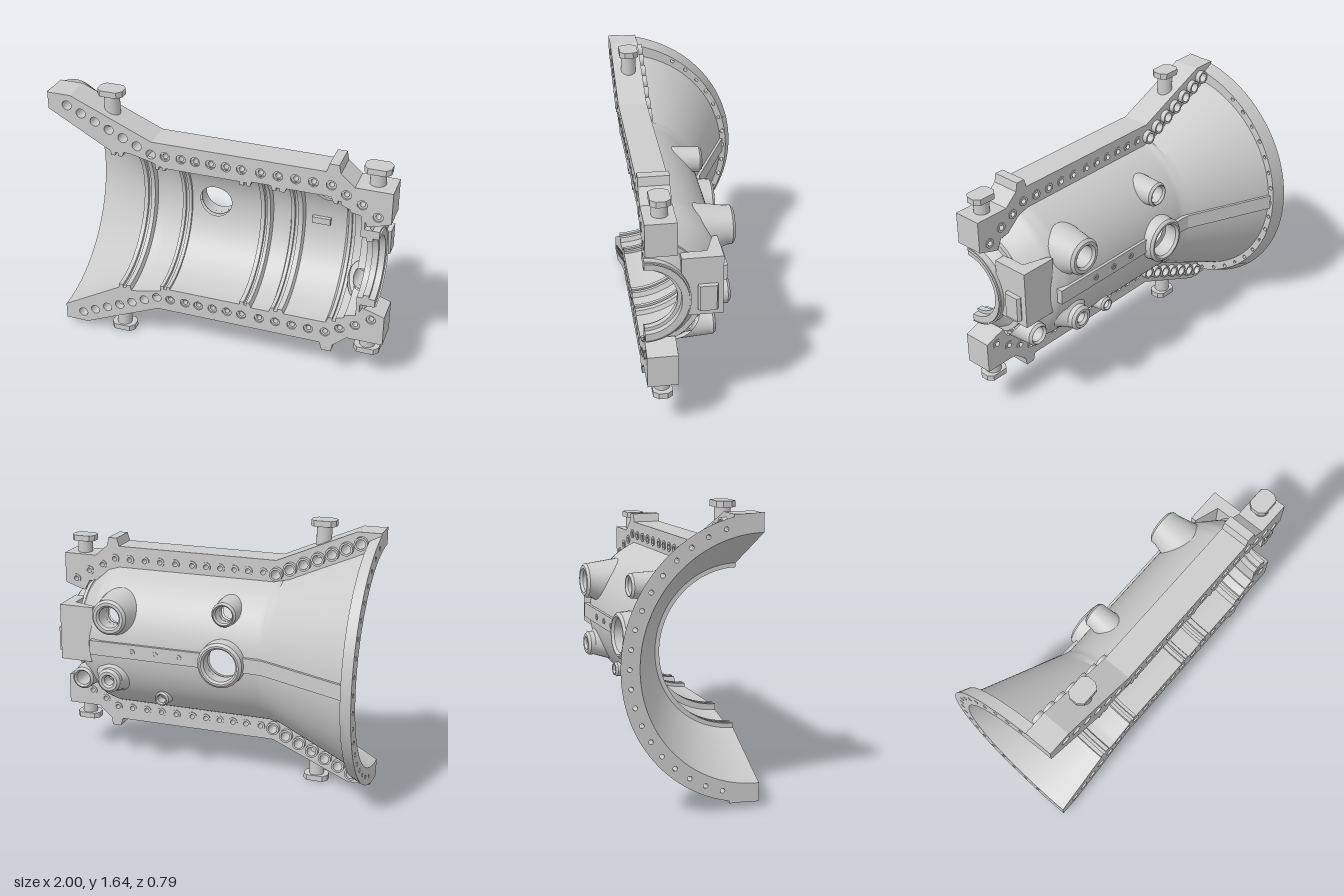
import * as THREE from 'three';
import { toCreasedNormals } from 'three/addons/utils/BufferGeometryUtils.js';

const AY = 0.82, AZ = 0.395; // casing axis, running along x in the split plane
const mat = new THREE.MeshStandardMaterial({ color: 0xcccccc, side: THREE.DoubleSide });

// openings through the wall: x, y, radius
const ports = [[-0.15, 0.82, 0.1], [-0.15, 1.11, 0.052], [0.55, 1.04, 0.065], [0.8, 0.58, 0.045]];

// profiles as x, radius
const inner = [[-1, .68], [-.63, .47], [-.63, .445], [-.605, .445], [-.605, .465], [-.585, .465], [-.585, .445], [-.56, .445],
  [-.55, .475], [-.5, .47], [-.36, .435], [-.36, .4], [-.34, .4], [-.34, .42], [-.32, .42], [-.32, .4], [-.3, .4], [-.3, .415],
  [.14, .415], [.14, .395], [.165, .395], [.165, .415], [.18, .415], [.18, .395], [.2, .395], [.21, .425], [.32, .425],
  [.33, .395], [.35, .395], [.35, .415], [.37, .415], [.37, .395], [.4, .395], [.41, .42], [.66, .42],
  [.68, .38], [.7, .38], [.7, .4], [.72, .4], [.72, .38], [.74, .37], [.77, .36], [.77, .345], [.84, .33]];
const outer = [[-.93, .715], [-.4, .48], [-.37, .47], [.63, .47], [.7, .45], [.8, .37], [.9, .25], [.95, .24]];

// half revolution about the axis, leaving the ports open
function halfShell(profile, squash = 0) {
  const rows = [profile[0]], N = 72, pos = [], cut = [], idx = [];
  for (let i = 1; i < profile.length; i++) {
    const [x0, r0] = profile[i - 1], [x1, r1] = profile[i];
    const n = Math.max(1, Math.ceil(Math.abs(x1 - x0) / 0.022));
    for (let k = 1; k <= n; k++) rows.push([x0 + (x1 - x0) * k / n, r0 + (r1 - r0) * k / n]);
  }
  for (const [px, r] of rows) for (let j = 0; j <= N; j++) {
    const a = Math.PI * j / N;
    const rr = px < -0.4 ? r * (1 - squash * (1 - Math.sin(a))) : r;
    let x = px, y = AY + rr * Math.cos(a), inside = false;
    for (const [hx, hy, hr] of ports) {
      const d = Math.hypot(x - hx, y - hy);
      if (d < hr) { // slide the vertex out to the port's edge
        const k = hr / Math.max(d, 1e-4);
        x = hx + (x - hx) * k; y = hy + (y - hy) * k; inside = true;
      }
    }
    const dy = y - AY;
    pos.push(x, y, AZ - (inside ? Math.sqrt(Math.max(0, rr * rr - dy * dy)) : rr * Math.sin(a)));
    cut.push(inside);
  }
  const tri = (a, b, c) => { if (!(cut[a] && cut[b] && cut[c])) idx.push(a, b, c); };
  for (let i = 0; i < rows.length - 1; i++) for (let j = 0; j < N; j++) {
    const a = i * (N + 1) + j, b = a + N + 1;
    tri(a, b, a + 1); tri(b, b + 1, a + 1);
  }
  const g = new THREE.BufferGeometry();
  g.setAttribute('position', new THREE.Float32BufferAttribute(pos, 3));
  g.setIndex(idx);
  return toCreasedNormals(g, 0.45);
}

const circle = (x, y, r) => new THREE.Path().absarc(x, y, r, 0, Math.PI * 2, true);
const extrude = (shape, depth) => new THREE.ExtrudeGeometry(shape, { depth, bevelEnabled: false, curveSegments: 32 });

// half ring standing across the axis
function halfRing(r0, r1, x0, depth, holes = []) {
  const s = new THREE.Shape();
  s.absarc(0, 0, r1, -Math.PI / 2, Math.PI / 2, false);
  s.absarc(0, 0, r0, Math.PI / 2, -Math.PI / 2, true);
  s.holes = holes;
  return toCreasedNormals(extrude(s, depth).rotateY(Math.PI / 2).translate(x0, AY, AZ), 0.5);
}

// plan outline in x, z raised along y
const slab = (pts, y0, h) =>
  extrude(new THREE.Shape(pts.map(([x, z]) => new THREE.Vector2(x, -z))), h).rotateX(-Math.PI / 2).translate(0, y0, 0);

// tube along z between z0 and z1
function sleeve(x, y, r0, r1, z0, z1) {
  const p = [[r0, z0], [r1, z0], [r1, z1], [r0, z1], [r0, z0]].map(([r, z]) => new THREE.Vector2(r, z));
  return toCreasedNormals(new THREE.LatheGeometry(p, 20).rotateX(Math.PI / 2).translate(x, y, 0), 0.5);
}

// hollow boss facing the back, its foot fitted to the wall of radius R
function boss(x, y, hole, rim, foot, zTop, R) {
  const h = -zTop, FLOOR = -9;
  const p = [[hole, FLOOR], [hole, h - .015], [hole + .012, h], [rim - .015, h], [rim, h - .015], [rim, h - .045], [foot, FLOOR]]
    .map(([r, t]) => new THREE.Vector2(r, t));
  const g = new THREE.LatheGeometry(p, 28).rotateX(-Math.PI / 2).translate(x, y, 0), v = g.attributes.position;
  for (let i = 0; i < v.count; i++) if (v.getZ(i) > 5) {
    const dy = v.getY(i) - AY;
    v.setZ(i, AZ - Math.sqrt(Math.max(0.01, R * R - dy * dy)));
  }
  return toCreasedNormals(g, 0.5);
}

export function createModel() {
  const model = new THREE.Group();
  const add = (name, geo) => {
    const m = new THREE.Mesh(geo, mat);
    m.name = name;
    model.add(m);
    return m;
  };

  add('innerWall', halfShell(inner));
  add('outerWall', halfShell(outer, 0.05));

  // flared end rim with a row of bolt holes
  const rimHoles = [];
  for (let i = 0; i < 21; i++) {
    const a = (i - 10) * 0.142;
    rimHoles.push(circle(0.735 * Math.cos(a), 0.735 * Math.sin(a), 0.013));
  }
  const rim = halfRing(0.68, 0.785, -1, 0.07, rimHoles), rv = rim.attributes.position;
  for (let i = 0; i < rv.count; i++) {
    const y = rv.getY(i) - AY, z = rv.getZ(i) - AZ;
    if (rv.getX(i) > -0.95 && Math.hypot(y, z) > 0.77) rv.setXYZ(i, rv.getX(i), AY + y * 0.957, AZ + z * 0.957);
  }
  add('flareRim', rim);

  // narrow end: bearing ring, collar and block
  add('neckRing', halfRing(0.2, 0.25, 0.84, 0.1));
  add('neckLip', halfRing(0.18, 0.225, 0.87, 0.035));
  add('neckWall', halfRing(0.2, 0.335, 0.835, 0.02));
  add('neckBlock', slab([[.7, -.03], [.92, -.03], [.92, .195], [.85, .195], [.85, .05], [.7, 0]], 0.71, 0.35));
  add('neckCap', slab([[.91, .01], [.93, 0], [.95, .01], [.95, .1], [.93, .11], [.91, .1]], 0.75, 0.15));

  // split flanges, upper and lower
  const outline = [[1, .31], [1, .5], [.79, .5], [.71, .57], [.7, .62], [.645, .62], [.63, .57], [-.38, .57], [-.86, .78], [-1, .78]];
  const bolts = [];
  for (let i = 0; i < 7; i++) bolts.push([-.885 + i * .0833, .715 - i * .0375]);
  for (const x of [-.3, -.205, -.12, -.03, .06, .15, .26, .36, .46, .56, .66]) bolts.push([x, .49]);
  bolts.push([.745, .445], [.835, .4], [.925, .34]);
  for (const s of [1, -1]) {
    const edge = [...inner, [.87, .27], [.91, .28], ...outline];
    const shape = new THREE.Shape(edge.map(([x, r]) => new THREE.Vector2(x, AY + s * r)));
    shape.holes = bolts.map(([x, r]) => circle(x, AY + s * r, 0.028));
    add('splitFlange', extrude(shape, 0.17).translate(0, 0, AZ - 0.17));
    bolts.forEach(([x, r], i) => {
      const y = AY + s * r;
      if (i < 7) add('boltSeat', sleeve(x, y, 0.028, 0.04, 0.195, 0.23));
      else add('boltSleeve', sleeve(x, y, 0.015, 0.0285, 0.22, 0.385));
    });

    // lifting posts with flat heads
    for (const [x, r0, r1] of [[-0.645, 0.6, 0.82], [0.895, 0.45, 0.61]]) {
      const post = add('liftingPost', new THREE.CylinderGeometry(0.045, 0.045, r1 - r0, 24));
      post.position.set(x, AY + s * (r0 + r1) / 2, 0.305);
      const head = [[-.075, -.025], [-.05, -.055], [.05, -.055], [.075, -.025], [.075, .025], [.05, .055], [-.05, .055], [-.075, .025]];
      add('postHead', slab(head.map(([u, w]) => [x + u, 0.305 + w]), s > 0 ? AY + r1 - 0.035 : AY - r1, 0.035));
    }
  }

  // rib along the back, interrupted by the main port
  add('flareRib', slab([[-.93, -.335], [-.4, -.1], [-.25, -.09], [-.25, -.06], [-.4, -.07], [-.93, -.3]], 0.78, 0.09));
  add('bodyRib', slab([[-.05, -.09], [.7, -.09], [.7, -.04], [-.05, -.06]], 0.78, 0.09));
  for (const x of [.12, .27, .42]) add('ribPlug', sleeve(x, 0.825, 0.008, 0.018, -0.095, -0.07));

  // port and instrument bosses
  add('mainPortBoss', boss(-.15, .82, .1, .138, .145, -.14, .44));
  add('upperPortBoss', boss(-.15, 1.11, .052, .075, .085, -.07, .44));
  add('sidePortBoss', boss(.55, 1.04, .065, .11, .14, -.14, .44));
  add('endPortBoss', boss(.8, .58, .045, .07, .08, 0, .35));
  add('lowerBoss', boss(.57, .63, .03, .075, .12, -.12, .45));
  add('smallBoss', boss(.26, .52, .025, .045, .055, -.03, .45));

  // locating key inside the body
  add('innerKey', new THREE.BoxGeometry(0.11, 0.04, 0.03)).position.set(0.51, 0.82, -0.015);
  return model;
}
